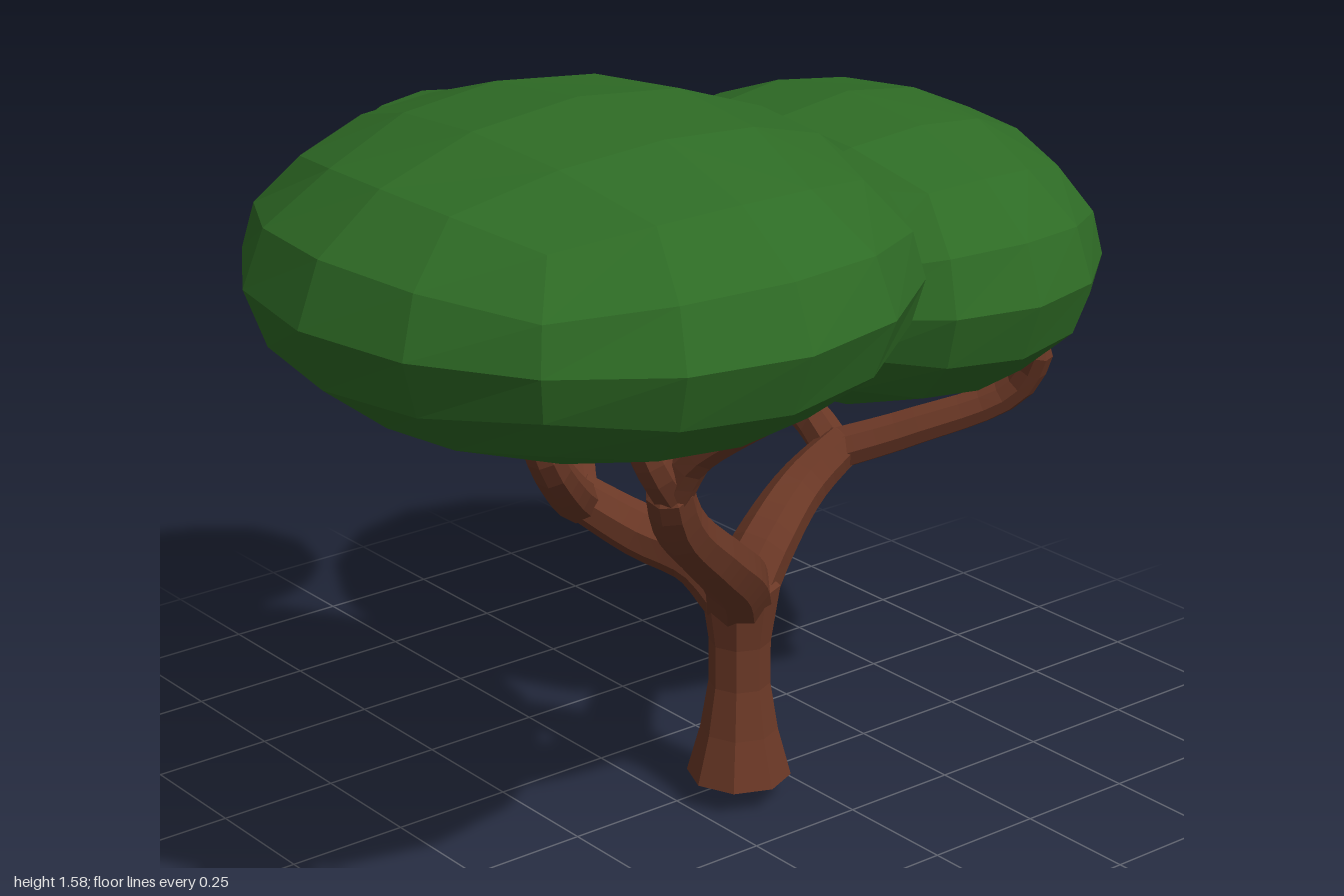
import * as THREE from 'three';

const leafMaterial = new THREE.MeshStandardMaterial({ color: 0x2e6b25, flatShading: true });
const barkMaterial = new THREE.MeshStandardMaterial({ color: 0x6b3826, flatShading: true });

// Faceted ellipsoid: a cube grid bulged to a sphere with equal angles, then stretched
function canopy(name, center, radii) {
  const geo = new THREE.BoxGeometry(2, 2, 2, 4, 4, 4);
  const pos = geo.attributes.position;
  const v = new THREE.Vector3();
  const bulge = (t) => Math.tan(t * Math.PI / 4);
  for (let i = 0; i < pos.count; i++) {
    v.fromBufferAttribute(pos, i);
    v.set(bulge(v.x), bulge(v.y), bulge(v.z)).normalize();
    pos.setXYZ(i, v.x * radii[0], v.y * radii[1], v.z * radii[2]);
  }
  geo.computeVertexNormals();
  const mesh = new THREE.Mesh(geo, leafMaterial);
  mesh.name = name;
  mesh.position.set(...center);
  return mesh;
}

// Tapered eight-sided limb through the given points, closed at its far end
function branch(name, r0, r1, ...points) {
  const curve = new THREE.CatmullRomCurve3(points);
  const steps = points.length * 3;
  const sides = 8;
  const geo = new THREE.TubeGeometry(curve, steps, 1, sides);
  const pos = geo.attributes.position;
  const v = new THREE.Vector3();
  for (let i = 0; i <= steps; i++) {
    const c = curve.getPointAt(i / steps);
    const r = i === steps ? 0 : THREE.MathUtils.lerp(r0, r1, i / steps);
    for (let j = 0; j <= sides; j++) {
      const k = i * (sides + 1) + j;
      v.fromBufferAttribute(pos, k).sub(c).multiplyScalar(r).add(c);
      pos.setXYZ(k, v.x, v.y, v.z);
    }
  }
  geo.computeVertexNormals();
  const mesh = new THREE.Mesh(geo, barkMaterial);
  mesh.name = name;
  return mesh;
}

// Flared trunk with a shallow pointed foot and a rounded top under the fork
function makeTrunk() {
  const profile = [[0, 0], [0.105, 0.05], [0.078, 0.15], [0.062, 0.25],
    [0.062, 0.34], [0.08, 0.46], [0, 0.535]];
  const geo = new THREE.LatheGeometry(profile.map(([r, y]) => new THREE.Vector2(r, y)), 8);
  const trunk = new THREE.Mesh(geo, barkMaterial);
  trunk.name = 'trunk';
  trunk.position.set(0.052, 0, -0.118);
  return trunk;
}

export function createModel() {
  const tree = new THREE.Group();
  tree.name = 'tree';
  tree.add(makeTrunk());

  // Points where the limbs leave the trunk and where each one forks
  const at = (x, y, z) => new THREE.Vector3(x, y, z);
  const crown = at(0.05, 0.43, -0.115);
  const leftFork = at(0.31, 0.83, 0.26);
  const rightFork = at(-0.2, 0.61, 0.09);
  const backFork = at(-0.02, 0.65, -0.42);

  // Left limb
  tree.add(
    branch('leftLimb', 0.07, 0.045, crown, at(0.13, 0.52, -0.04), at(0.21, 0.62, 0.08),
      at(0.28, 0.75, 0.22), at(0.32, 0.87, 0.28)),
    branch('leftOuterBranch', 0.042, 0.032, leftFork, at(0.36, 0.91, 0.25), at(0.56, 1.06, 0.18)),
    branch('leftInnerBranch', 0.042, 0.032, leftFork, at(0.32, 0.9, 0.31), at(0.27, 1.08, 0.36)),
  );

  // Right limb
  tree.add(
    branch('rightLimb', 0.07, 0.044, crown, at(-0.02, 0.51, -0.07), at(-0.12, 0.55, 0),
      at(-0.23, 0.64, 0.11)),
    branch('rightOuterBranch', 0.045, 0.03, rightFork, at(-0.27, 0.66, 0.045),
      at(-0.39, 0.81, -0.055), at(-0.54, 0.99, 0.1), at(-0.64, 1.1, 0.17)),
    branch('rightInnerBranch', 0.046, 0.03, rightFork, at(-0.11, 0.69, 0.19),
      at(-0.045, 0.81, 0.29), at(-0.1, 1.1, 0.36)),
  );

  // Back limb
  tree.add(
    branch('backLimb', 0.07, 0.042, crown, at(0.03, 0.52, -0.2), at(-0.01, 0.6, -0.33),
      at(-0.01, 0.68, -0.47)),
    branch('backLeftBranch', 0.045, 0.03, backFork, at(0.08, 0.7, -0.54),
      at(0.22, 0.79, -0.69), at(0.29, 0.92, -0.7)),
    branch('backRightBranch', 0.043, 0.03, backFork, at(-0.12, 0.68, -0.45),
      at(-0.28, 0.73, -0.465), at(-0.43, 0.84, -0.47)),
  );

  // Leaf masses
  tree.add(
    canopy('frontCanopy', [0.235, 1.278, 0.408], [0.635, 0.303, 0.59]),
    canopy('backCanopy', [-0.125, 1.05, -0.535], [0.565, 0.305, 0.465]),
    canopy('smallRightCanopy', [-0.672, 1.137, 0.06], [0.202, 0.202, 0.29]),
  );
  return tree;
}
